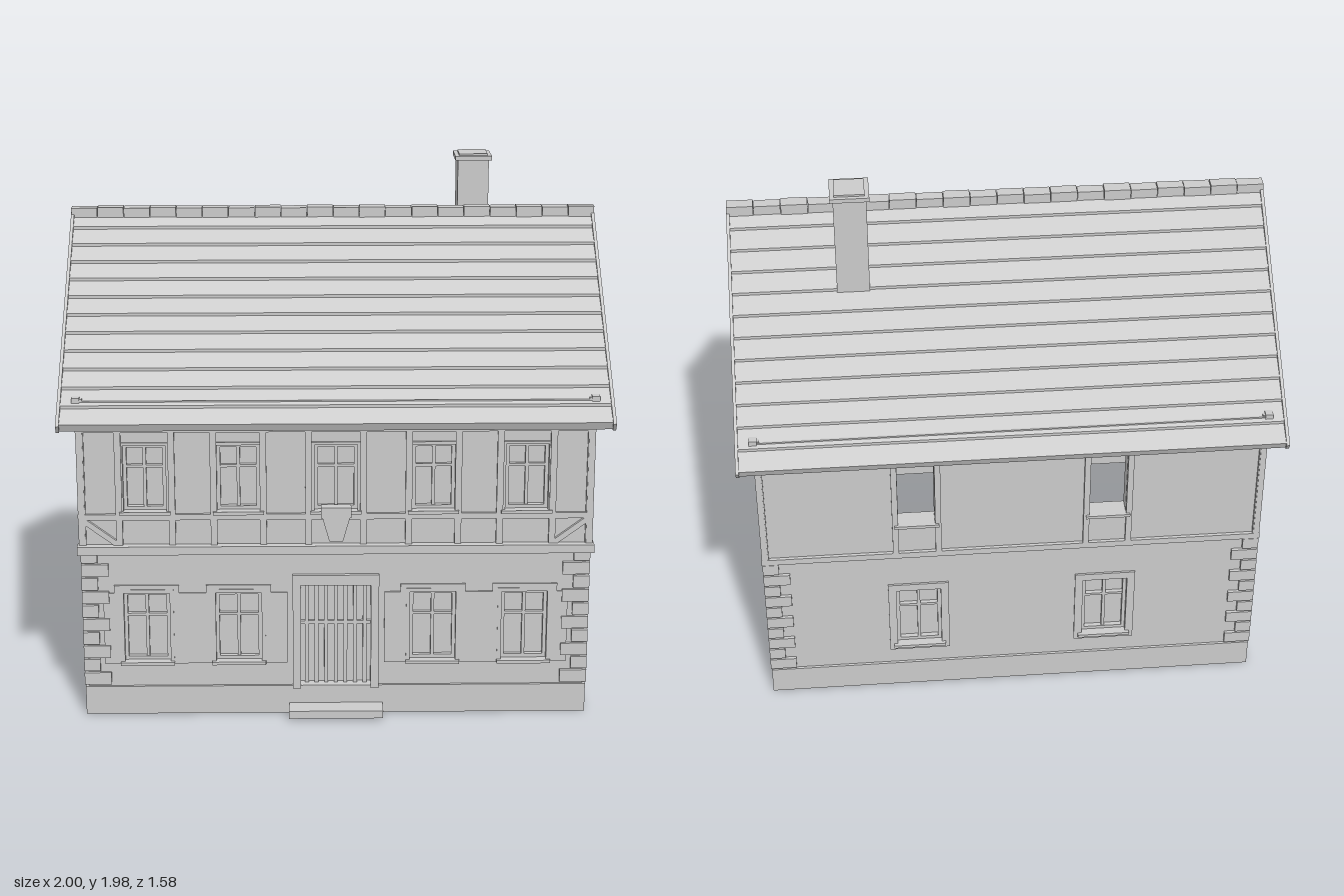
import * as THREE from 'three';

const stone = new THREE.MeshStandardMaterial({ color: 0xcccccc });
stone.name = 'plain grey';

function add(parent, name, geo, x = 0, y = 0, z = 0) {
  const m = new THREE.Mesh(geo, stone);
  m.name = name;
  m.position.set(x, y, z);
  parent.add(m);
  return m;
}
const box = (parent, name, w, h, d, x, y, z) => add(parent, name, new THREE.BoxGeometry(w, h, d), x, y, z);
const poly = pts => new THREE.Shape(pts.map(p => new THREE.Vector2(p[0], p[1])));
const rect = (u0, v0, u1, v1) => [[u0, v0], [u1, v0], [u1, v1], [u0, v1]];

// flat slab with rectangular holes; its outer face lies at z = face
function slab(parent, name, pts, holes, face, depth) {
  const s = poly(pts);
  holes.forEach(h => s.holes.push(new THREE.Path(rect(...h).reverse().map(p => new THREE.Vector2(...p)))));
  const g = new THREE.ExtrudeGeometry(s, { depth, bevelEnabled: false });
  return add(parent, name, g, 0, 0, face - depth);
}

// timber between two points of a wall
function timber(parent, u0, v0, u1, v1, width, face, depth = 0.026) {
  const m = box(parent, 'timber', Math.hypot(u1 - u0, v1 - v0), width, depth, (u0 + u1) / 2, (v0 + v1) / 2, face);
  m.rotation.z = Math.atan2(v1 - v0, u1 - u0);
}

// casing, sill and, unless open, a recessed pane with glazing bars
function windowUnit(parent, [u0, v0, u1, v1], face, { casing = 0.02, open = false } = {}) {
  const g = new THREE.Group();
  g.name = 'window';
  parent.add(g);
  const c = casing, w = u1 - u0, h = v1 - v0, u = (u0 + u1) / 2, v = (v0 + v1) / 2;
  if (c) slab(g, 'casing', rect(u0 - c, v0 - c, u1 + c, v1 + c), [[u0, v0, u1, v1]], face + 0.008, 0.02);
  box(g, 'sill', w + 0.03, 0.012, 0.04, u, v0 - 0.006, face + 0.002);
  if (open) return;
  slab(g, 'sash', rect(u0, v0, u1, v1), [[u0 + 0.013, v0 + 0.013, u1 - 0.013, v1 - 0.013]], face - 0.012, 0.02);
  box(g, 'pane', w, h, 0.008, u, v, face - 0.034);
  box(g, 'mullion', 0.012, h, 0.016, u, v, face - 0.022);
  box(g, 'transom', w, 0.01, 0.016, u, v0 + h * 0.66, face - 0.022);
}

function side(root, name, angle) {
  const g = new THREE.Group();
  g.name = name;
  g.rotation.y = angle;
  root.add(g);
  return g;
}

function buildFront(root) {
  const g = side(root, 'frontWall', 0);
  const low = 0.66, up = 0.69, T = 0.06;
  const lows = [-0.7, -0.36, 0.36, 0.7].map(x => [x - 0.085, 0.21, x + 0.085, 0.48]);
  const ups = [-0.695, -0.355, 0, 0.355, 0.695].map(x => [x - 0.078, 0.81, x + 0.078, 1.06]);
  slab(g, 'groundWall', rect(-0.925, 0.05, 0.925, 0.66), [...lows, [-0.13, 0.1, 0.13, 0.51]], low, T);
  slab(g, 'upperWall', rect(-0.925, 0.65, 0.925, 1.18), ups, up, T);
  lows.forEach(w => windowUnit(g, w, low, { casing: 0.014 }));
  ups.forEach(w => windowUnit(g, w, up, { casing: 0.01 }));

  // stepped plaster surround behind each pair of windows
  const outline = [[0.18, 0.2], [0.86, 0.2], [0.86, 0.48], [0.82, 0.48], [0.82, 0.51], [0.58, 0.51],
    [0.58, 0.48], [0.48, 0.48], [0.48, 0.51], [0.24, 0.51], [0.24, 0.48], [0.18, 0.48]];
  slab(g, 'windowSurround', outline, lows.slice(2), low + 0.006, 0.01);
  slab(g, 'windowSurround', outline.map(([x, y]) => [-x, y]).reverse(), lows.slice(0, 2), low + 0.006, 0.01);

  // door with upright slats, stone surround and step
  slab(g, 'doorSurround', [[-0.16, 0.1], [-0.13, 0.1], [-0.13, 0.51], [0.13, 0.51], [0.13, 0.1], [0.16, 0.1],
    [0.16, 0.55], [-0.16, 0.55]], [], low + 0.016, 0.04);
  box(g, 'door', 0.27, 0.41, 0.012, 0, 0.305, low - 0.04);
  for (let i = -3; i <= 3; i++) box(g, 'doorSlat', 0.014, 0.4, 0.02, i * 0.036, 0.305, low - 0.028);
  box(g, 'doorRail', 0.26, 0.012, 0.016, 0, 0.35, low - 0.03);
  box(g, 'step', 0.35, 0.03, 0.12, 0, 0.025, 0.69);

  // timber framing
  timber(g, -0.945, 0.665, 0.945, 0.665, 0.032, up + 0.008, 0.05);
  timber(g, -0.94, 0.788, 0.94, 0.788, 0.022, up);
  timber(g, -0.94, 1.13, 0.94, 1.13, 0.04, up);
  for (const s of [-1, 1]) {
    for (const x of [0.1, 0.265, 0.445, 0.597, 0.79, 0.927]) timber(g, s * x, 0.66, s * x, 1.15, 0.024, up);
    timber(g, s * 0.92, 0.775, s * 0.8, 0.685, 0.02, up);
  }
  // carved bracket with flower box below the middle window
  slab(g, 'bracket', [[-0.025, 0.7], [0.025, 0.7], [0.05, 0.79], [-0.05, 0.79]], [], up + 0.035, 0.04);
  box(g, 'flowerBox', 0.11, 0.04, 0.04, 0, 0.81, up + 0.018);
}

function buildBack(root) {
  const g = side(root, 'backWall', Math.PI);
  const f = 0.69;
  const lows = [-0.357, 0.357].map(x => [x - 0.085, 0.21, x + 0.085, 0.48]);
  const ups = [-0.357, 0.357].map(x => [x - 0.068, 0.81, x + 0.068, 1.1]);
  slab(g, 'groundWall', rect(-0.925, 0.05, 0.925, 0.66), lows, f, 0.06);
  slab(g, 'upperWall', rect(-0.925, 0.65, 0.925, 1.18), ups, f, 0.06);
  lows.forEach(w => windowUnit(g, w, f, { casing: 0.03 }));
  ups.forEach(w => windowUnit(g, w, f, { casing: 0, open: true }));
  timber(g, -0.94, 0.662, 0.94, 0.662, 0.025, f);
  timber(g, -0.94, 1.13, 0.94, 1.13, 0.03, f);
  for (const s of [-1, 1])
    for (const x of [0.277, 0.437, 0.927]) timber(g, s * x, 0.66, s * x, 1.15, 0.022, f);
}

function buildGable(root, name, s) {
  const g = side(root, name, s * Math.PI / 2);
  const f = 0.925, c = s * 0.02;
  const low = [c - 0.087, 0.21, c + 0.087, 0.48];
  const up = [-0.066, 0.81, 0.066, 1.045], attic = [-0.055, 1.32, 0.055, 1.49];
  const ends = s > 0 ? [-0.66, 0.69] : [-0.69, 0.66];
  slab(g, 'groundWall', rect(ends[0], 0.05, ends[1], 0.66), [low], f, 0.06);
  slab(g, 'gableWall', [[-0.69, 0.65], [0.69, 0.65], [0.69, 1.2], [0, 1.755], [-0.69, 1.2]], [up, attic], f, 0.06);
  windowUnit(g, low, f, { casing: 0.032 });
  windowUnit(g, up, f, { casing: 0.008 });
  // timber framing
  timber(g, -0.7, 0.66, 0.7, 0.66, 0.022, f);
  timber(g, -0.7, 1.217, 0.7, 1.217, 0.036, f);
  for (const k of [-1, 1]) {
    timber(g, k * 0.688, 0.66, k * 0.688, 1.2, 0.024, f);
    timber(g, k * 0.276, 0.66, k * 0.276, 1.2, 0.022, f);
    timber(g, k * 0.29, 1.19, k * 0.675, 0.675, 0.02, f);
    timber(g, k * 0.095, 1.22, k * 0.095, 1.66, 0.02, f);
    timber(g, k * 0.68, 1.19, 0, 1.735, 0.03, f);
  }
}

function buildBase(root) {
  // hollow plinth
  const p = slab(root, 'plinth', rect(-0.935, -0.67, 0.935, 0.7), [[-0.865, -0.6, 0.865, 0.63]], 0.11, 0.11);
  p.rotation.x = -Math.PI / 2;
  p.position.set(0, 0, 0);
  // corner stones, long and short in turn
  for (const sx of [-1, 1]) for (const sz of [-1, 1]) for (let i = 0; i < 10; i++) {
    const [w, d] = i % 2 ? [0.06, 0.1] : [0.1, 0.06];
    const edge = sz > 0 ? 0.672 : -0.703;
    box(root, 'cornerStone', w, 0.047, d, sx * (0.938 - w / 2), 0.143 + i * 0.0535, edge - sz * d / 2);
  }
}

function buildRoof(root) {
  const g = new THREE.Group();
  g.name = 'roof';
  root.add(g);
  const slope = 0.805, N = 12, top = z => 1.78 - slope * z;
  // stepped courses from ridge to eave, then the plain underside
  const half = [];
  for (let i = 0; i < N; i++) {
    const a = i * 0.78 / N, b = (i + 1) * 0.78 / N;
    half.push([a, top(a)], [b, top(b) + 0.011]);
  }
  half.push([0.768, 1.135]);
  const left = half.slice(1).reverse().map(([z, y]) => [-z, y]);
  const profile = [...left, ...half, [0, 1.753]].reverse();
  const tiles = new THREE.ExtrudeGeometry(poly(profile), { depth: 1.98, bevelEnabled: false });
  tiles.rotateY(Math.PI / 2);
  add(g, 'roofCourses', tiles, -0.99);

  // verge boards
  const verge = [[0, 1.796], [-0.79, 1.16], [-0.772, 1.132], [0, 1.752], [0.772, 1.132], [0.79, 1.16]];
  for (const s of [-1, 1]) {
    const v = new THREE.ExtrudeGeometry(poly(verge), { depth: 0.012, bevelEnabled: false });
    v.rotateY(Math.PI / 2);
    add(g, 'vergeBoard', v, s > 0 ? 0.988 : -1);
  }
  // ridge tiles, alternately lapped
  for (let i = 0; i < 20; i++)
    box(g, 'ridgeTile', 0.098, 0.036 + (i % 2) * 0.005, 0.046 + (i % 3) * 0.003, -0.95 + i * 0.1, 1.783, 0);
  // snow rails on both slopes
  for (const s of [-1, 1]) {
    box(g, 'snowRail', 1.88, 0.014, 0.014, 0, 1.222, s * 0.695);
    for (const x of [-0.935, 0.935]) box(g, 'railBracket', 0.028, 0.036, 0.032, x, 1.222, s * 0.69);
  }
}

function buildChimney(root) {
  const g = new THREE.Group();
  g.name = 'chimney';
  g.position.set(0.547, 0, -0.205);
  root.add(g);
  box(g, 'chimneyShaft', 0.12, 0.46, 0.12, 0, 1.73, 0);
  box(g, 'chimneyCap', 0.142, 0.016, 0.142, 0, 1.963, 0);
  box(g, 'chimneyTop', 0.11, 0.01, 0.11, 0, 1.973, 0);
}

export function createModel() {
  const root = new THREE.Group();
  root.name = 'house';
  buildBase(root);
  buildFront(root);
  buildBack(root);
  buildGable(root, 'leftGable', 1);
  buildGable(root, 'rightGable', -1);
  buildRoof(root);
  buildChimney(root);
  return root;
}
